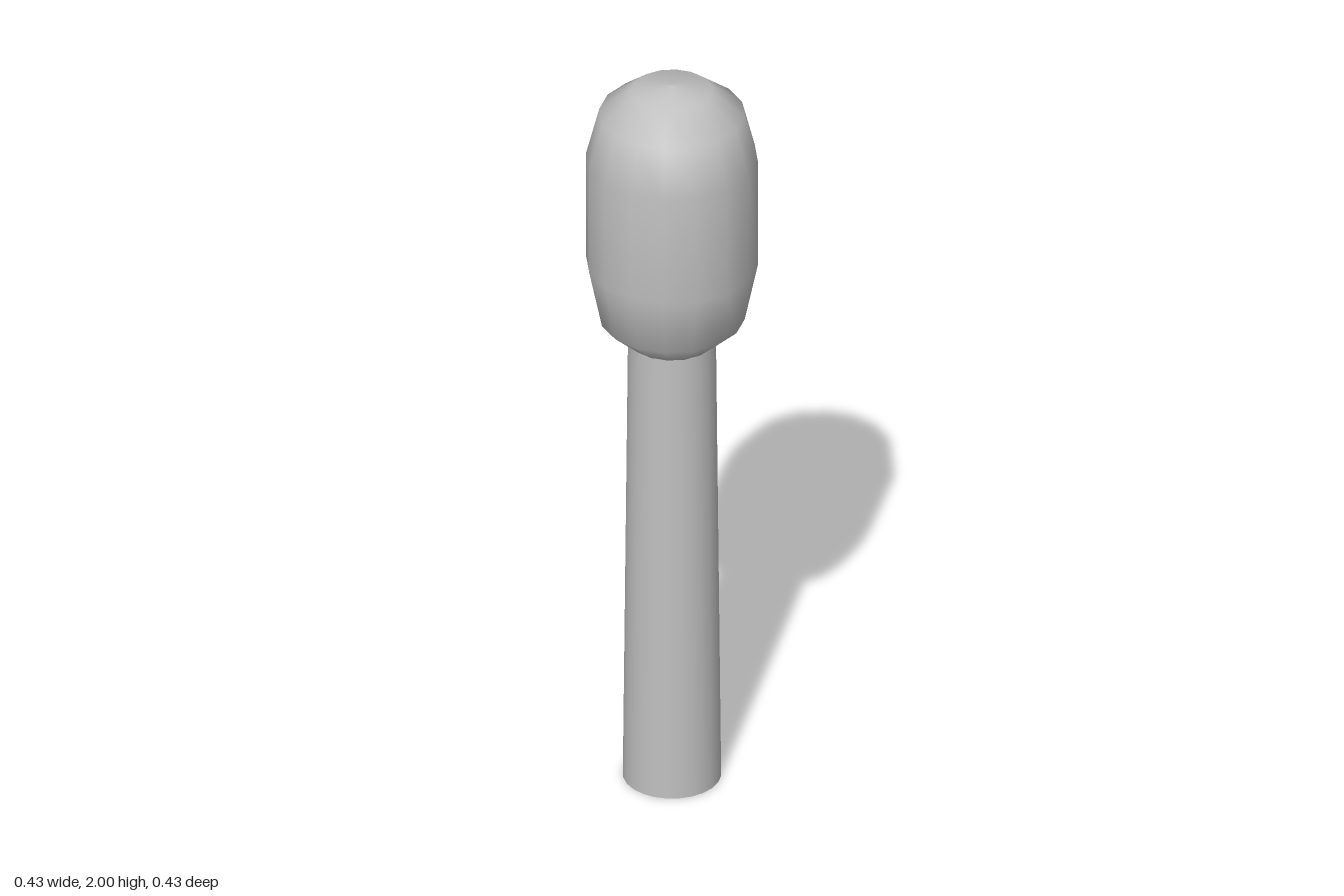
import * as THREE from 'three';

// Smooth solid of revolution from [radius, height] pairs, bottom to top
function turned(name, points, sides, material) {
  const profile = points.map(([r, y]) => new THREE.Vector2(r, y));
  const mesh = new THREE.Mesh(new THREE.LatheGeometry(profile, sides), material);
  mesh.name = name;
  return mesh;
}

export function createModel() {
  const model = new THREE.Group();
  model.name = 'roundHeadedStick';
  const grey = new THREE.MeshStandardMaterial({ color: 0xc0c0c0 });
  grey.name = 'light grey';

  // Slightly tapered handle, running up into the head
  const bottomRadius = 0.123, topRadius = 0.11, height = 1.28;
  const handle = new THREE.Mesh(
    new THREE.CylinderGeometry(topRadius, bottomRadius, height, 24), grey);
  handle.name = 'handle';
  handle.position.y = height / 2;
  model.add(handle);

  // Sixteen-sided capsule head with a shallow domed top
  model.add(turned('head', [
    [0, 1.245], [0.105, 1.26], [0.182, 1.33], [0.215, 1.49],
    [0.215, 1.79], [0.182, 1.92], [0.1, 1.985], [0, 2],
  ], 16, grey));

  return model;
}
